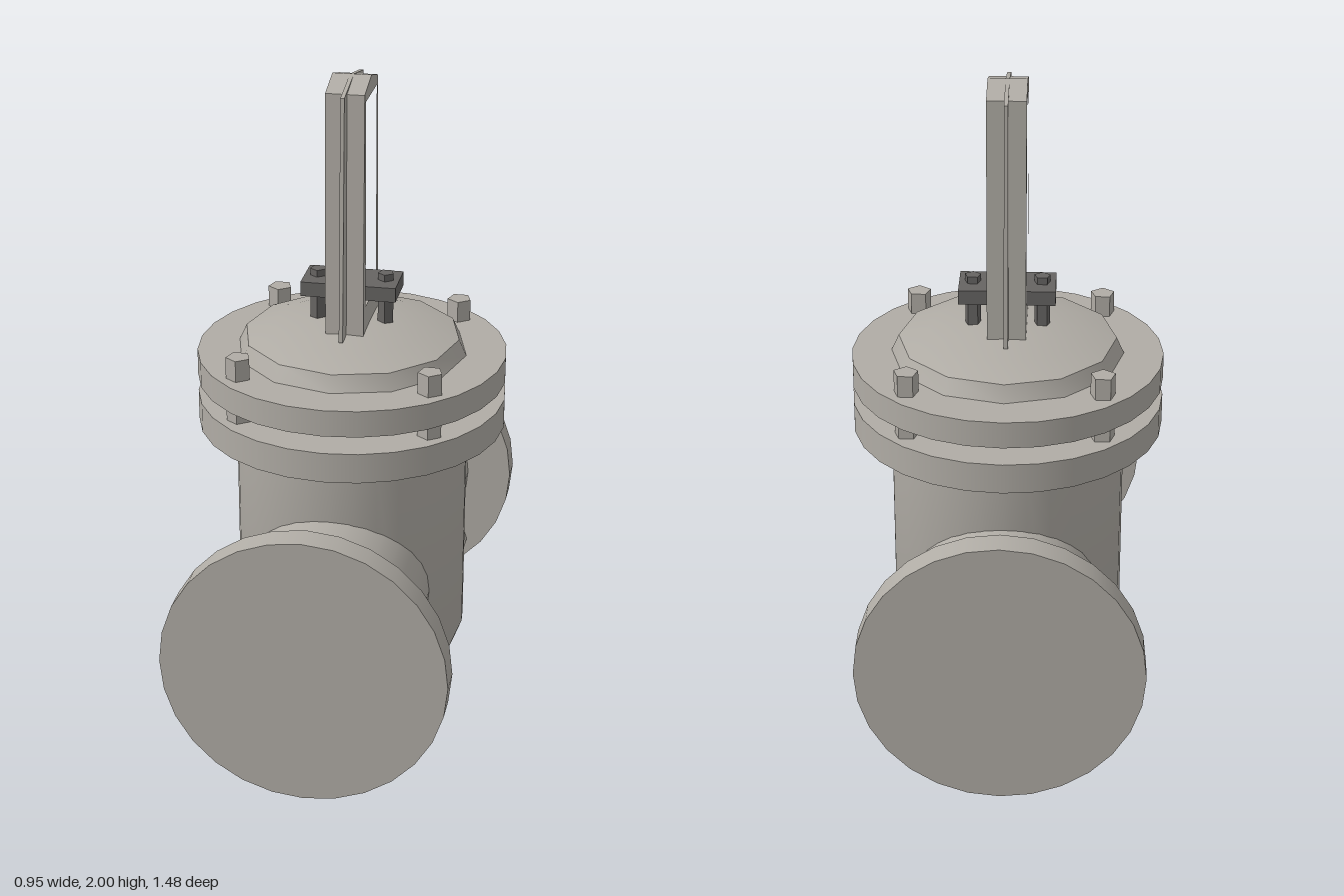
import * as THREE from 'three';
import { toCreasedNormals } from 'three/addons/utils/BufferGeometryUtils.js';

export function createModel() {
  const model = new THREE.Group();
  model.name = 'gateValve';
  const castMetal = new THREE.MeshStandardMaterial({ color: 0xb0aca5 });
  castMetal.name = 'cast metal';
  const darkSteel = new THREE.MeshStandardMaterial({ color: 0x666462 });
  darkSteel.name = 'dark steel';

  const stemZ = -0.03; // axis of the upright body
  const pipeY = 0.43; // axis of the through pipe

  function add(name, geometry, material, x = 0, y = 0, z = 0) {
    const mesh = new THREE.Mesh(geometry, material);
    mesh.name = name;
    mesh.position.set(x, y, z);
    model.add(mesh);
    return mesh;
  }
  // Upright cylinder between two heights
  function post(name, r, y0, y1, sides, x, z, material = castMetal) {
    let geometry = new THREE.CylinderGeometry(r, r, y1 - y0, sides);
    if (sides < 8) geometry = toCreasedNormals(geometry, 0.3);
    return add(name, geometry, material, x, (y0 + y1) / 2, z);
  }
  // Cylinder lying along z
  function barrel(name, r, length, sides, x, y, z) {
    let geometry = new THREE.CylinderGeometry(r, r, length, sides).rotateX(Math.PI / 2);
    if (sides < 8) geometry = toCreasedNormals(geometry, 0.3);
    return add(name, geometry, castMetal, x, y, z);
  }
  function turned(name, points, sides) {
    const profile = points.map(([r, y]) => new THREE.Vector2(r, y));
    const geometry = toCreasedNormals(new THREE.LatheGeometry(profile, sides), 0.56);
    return add(name, geometry, castMetal, 0, 0, stemZ);
  }

  // Upright body with rounded bottom
  turned('body', [[0, 0.02], [0.17, 0.045], [0.325, 0.125], [0.357, 0.21], [0.357, 0.92]], 32);

  // Through pipe with end flanges and their bolts
  barrel('pipe', 0.283, 1.36, 32, 0, pipeY, 0);
  for (const side of [-1, 1]) {
    barrel('pipeFlange', 0.426, 0.085, 28, 0, pipeY, side * 0.6975);
    for (const sx of [-1, 1]) for (const sy of [-1, 1]) {
      barrel('pipeFlangeBolt', 0.038, 0.085, 5, sx * 0.248, pipeY + sy * 0.248, side * 0.6325);
    }
  }

  // Body and bonnet flanges, joined by bolts across the open gap
  post('bodyFlange', 0.473, 0.905, 0.998, 28, 0, stemZ);
  post('bonnetFlange', 0.473, 1.053, 1.135, 28, 0, stemZ);
  for (const sx of [-1, 1]) for (const sz of [-1, 1]) {
    post('bonnetBolt', 0.038, 0.98, 1.202, 5, sx * 0.288, stemZ + sz * 0.29);
  }

  // Shallow bonnet dome
  turned('bonnet', [[0.355, 1.13], [0.33, 1.185], [0.24, 1.212], [0.12, 1.23], [0, 1.236]], 12);

  // Yoke: wide frame with a thin outer rib, both drawn in the z-y plane
  function yoke(name, bottom, top, width) {
    const mid = -0.025;
    const shape = new THREE.Shape([
      [mid - bottom, 1.225], [mid + bottom, 1.225], [mid + top, 1.97], [mid, 2], [mid - top, 1.97],
    ].map(([z, y]) => new THREE.Vector2(-z, y)));
    shape.holes.push(new THREE.Path([
      [0.06, 1.31], [0.06, 1.945], [-0.11, 1.945], [-0.11, 1.31],
    ].map(([z, y]) => new THREE.Vector2(-z, y))));
    const geometry = new THREE.ExtrudeGeometry(shape, { depth: width, bevelEnabled: false });
    geometry.translate(0, 0, -width / 2).rotateY(Math.PI / 2);
    add(name, geometry, castMetal);
  }
  yoke('yokeFrame', 0.122, 0.108, 0.116);
  yoke('yokeRib', 0.178, 0.147, 0.012);

  // Gland plate through the yoke, held by two studs
  add('glandPlate', new THREE.BoxGeometry(0.29, 0.045, 0.144), darkSteel, 0, 1.343, stemZ);
  for (const sx of [-1, 1]) {
    post('glandStud', 0.025, 1.2, 1.387, 5, sx * 0.104, stemZ, darkSteel);
  }
  return model;
}
